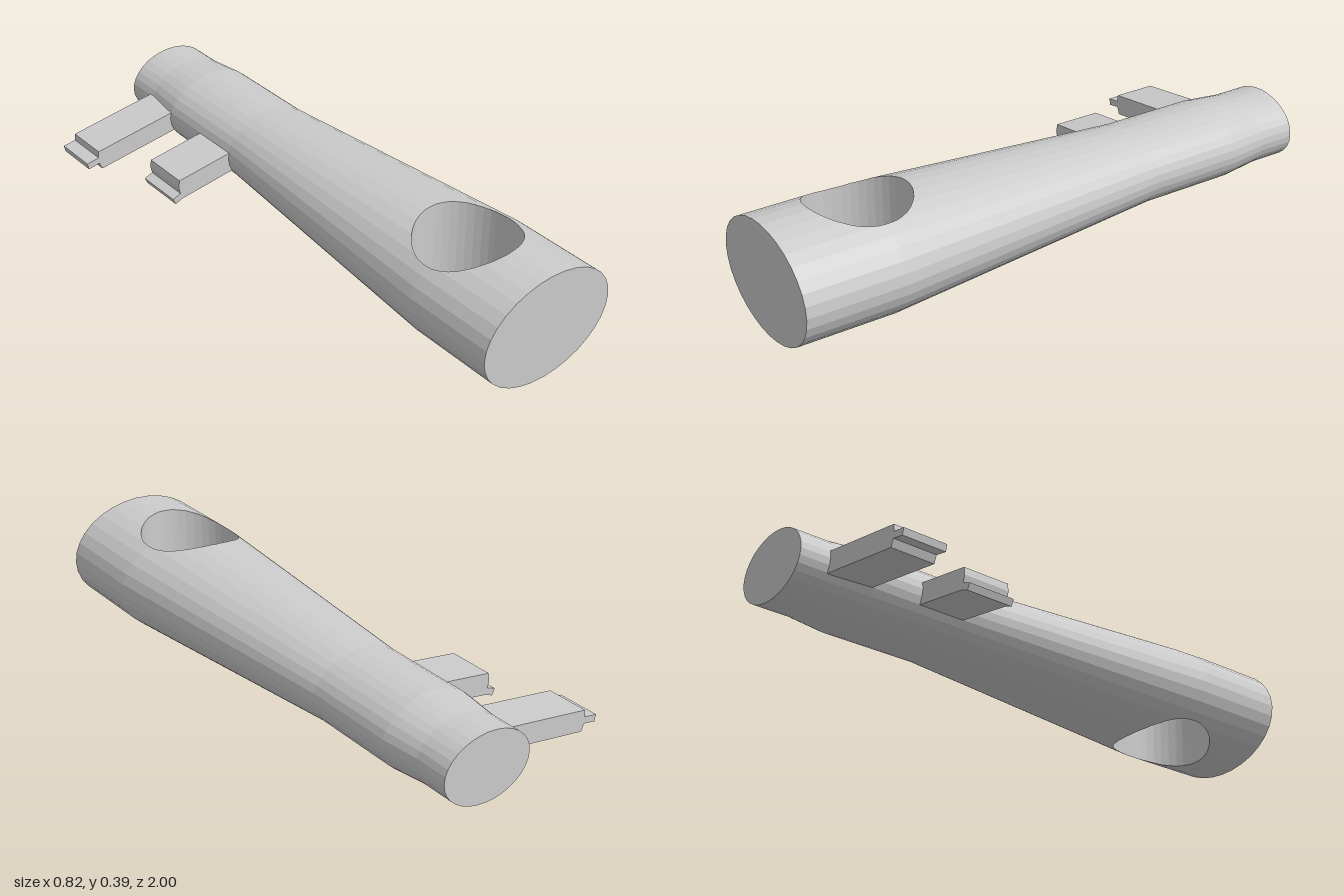
import * as THREE from 'three';

const SIDES = 32;                       // facets around the oval shaft
const HOLE = { x: 0.117, z: 0.658, r: 0.175 };

// oval cross-sections from front to back: z, centre x, centre y, radius x, radius y
const SECTIONS = [
  [1, 0.14, 0.195, 0.267, 0.194],
  [HOLE.z, 0.14, 0.195, 0.267, 0.194],
  [-0.38, 0.134, 0.198, 0.181, 0.132],
  [-0.73, 0.134, 0.198, 0.181, 0.132],
  [-0.87, 0.134, 0.198, 0.164, 0.12],
  [-1, 0.134, 0.198, 0.164, 0.12],
];

function sectionAt(z) {
  let i = 0;
  while (i < SECTIONS.length - 2 && z < SECTIONS[i + 1][0]) i++;
  const a = SECTIONS[i], b = SECTIONS[i + 1];
  const t = (a[0] - z) / (a[0] - b[0]);
  return a.map((v, k) => v + (b[k] - v) * t);
}

// half height of the faceted unit oval at u in -1..1
function facetHeight(u) {
  const step = (2 * Math.PI) / SIDES;
  const i = Math.min(SIDES / 2 - 1, Math.floor((Math.asin(u) + Math.PI / 2) / step + 1e-9));
  const a = i * step - Math.PI / 2, b = a + step;
  const t = (u - Math.sin(a)) / (Math.sin(b) - Math.sin(a));
  return Math.max(0, Math.cos(a) + (Math.cos(b) - Math.cos(a)) * t);
}

// z where the lengthwise line u meets the hole, on its front (+1) or back (-1) side
function holeEdge(u, side) {
  let z = HOLE.z;
  for (let k = 0; k < 16; k++) {
    const [, cx, , rx] = sectionAt(z);
    const dx = cx + rx * u - HOLE.x;
    if (Math.abs(dx) > HOLE.r - 1e-6) return HOLE.z;
    z = HOLE.z + side * Math.sqrt(HOLE.r ** 2 - dx * dx);
  }
  return z;
}

// shaft made of lengthwise strips that stop at the hole and resume behind it
function shaftGeometry() {
  const [, cx, , rx] = SECTIONS[0];
  let us = [];
  for (let i = 0; i <= SIDES / 2; i++) us.push(Math.sin((i / SIDES) * 2 * Math.PI - Math.PI / 2));
  for (let j = 0; j <= 20; j++) us.push((HOLE.x - cx + HOLE.r * Math.cos((j / 20) * Math.PI)) / rx);
  us.sort((a, b) => a - b);
  us = us.filter((u, i) => i === 0 || u - us[i - 1] > 1e-5);

  const positions = [];
  const point = (u, z, s) => {
    const [, x, y, w, h] = sectionAt(z);
    return [x + w * u, y + s * h * facetHeight(u), z];
  };
  const quad = (a, b, c, d, flip) => {
    const p = flip ? [d, c, b, a] : [a, b, c, d];
    positions.push(...p[0], ...p[1], ...p[2], ...p[0], ...p[2], ...p[3]);
  };
  const columns = us.map((u) => ({
    u,
    front: [1, holeEdge(u, 1)],
    back: [holeEdge(u, -1), ...SECTIONS.slice(2).map((s) => s[0])],
  }));

  for (let i = 0; i < columns.length - 1; i++) {
    const L = columns[i], R = columns[i + 1];
    // upper and lower skin
    for (const part of ['front', 'back'])
      for (let k = 0; k < L[part].length - 1; k++)
        for (const s of [1, -1])
          quad(point(L.u, L[part][k], s), point(R.u, R[part][k], s),
            point(R.u, R[part][k + 1], s), point(L.u, L[part][k + 1], s), s < 0);
    // upright faces: end caps and hole walls
    const upright = (zl, zr, flip) =>
      quad(point(L.u, zl, 1), point(R.u, zr, 1), point(R.u, zr, -1), point(L.u, zl, -1), flip);
    upright(1, 1, true);
    upright(-1, -1, false);
    if (L.front[1] - L.back[0] > 1e-4 || R.front[1] - R.back[0] > 1e-4) {
      upright(L.front[1], R.front[1], false);
      upright(L.back[0], R.back[0], true);
    }
  }
  const g = new THREE.BufferGeometry();
  g.setAttribute('position', new THREE.Float32BufferAttribute(positions, 3));
  g.computeVertexNormals();
  return g;
}

// side bar: tip outline plus a root buried in the shaft, extruded along z
function barGeometry(tip, zBack, zFront) {
  const outline = [[0.08, 0.239], ...tip, [0.08, 0.163]];
  const shape = new THREE.Shape(outline.map(([x, y]) => new THREE.Vector2(x, y)));
  const g = new THREE.ExtrudeGeometry(shape, { depth: zFront - zBack, bevelEnabled: false });
  return g.translate(0, 0, zBack);
}

export function createModel() {
  const group = new THREE.Group();
  const material = new THREE.MeshStandardMaterial({ color: 0xcccccc, flatShading: true });
  const add = (name, geometry) => {
    const mesh = new THREE.Mesh(geometry, material);
    mesh.name = name;
    group.add(mesh);
  };

  add('shaft', shaftGeometry());
  // long bar with a centred tongue
  add('longBar', barGeometry([
    [-0.36, 0.178], [-0.362, 0.153], [-0.41, 0.146], [-0.405, 0.122],
    [-0.36, 0.13], [-0.35, 0.104],
  ], -0.893, -0.735));
  // short bar with a low lip
  add('shortBar', barGeometry([
    [-0.258, 0.193], [-0.262, 0.165], [-0.256, 0.14], [-0.288, 0.128],
    [-0.278, 0.105], [-0.247, 0.117],
  ], -0.553, -0.378));
  return group;
}
